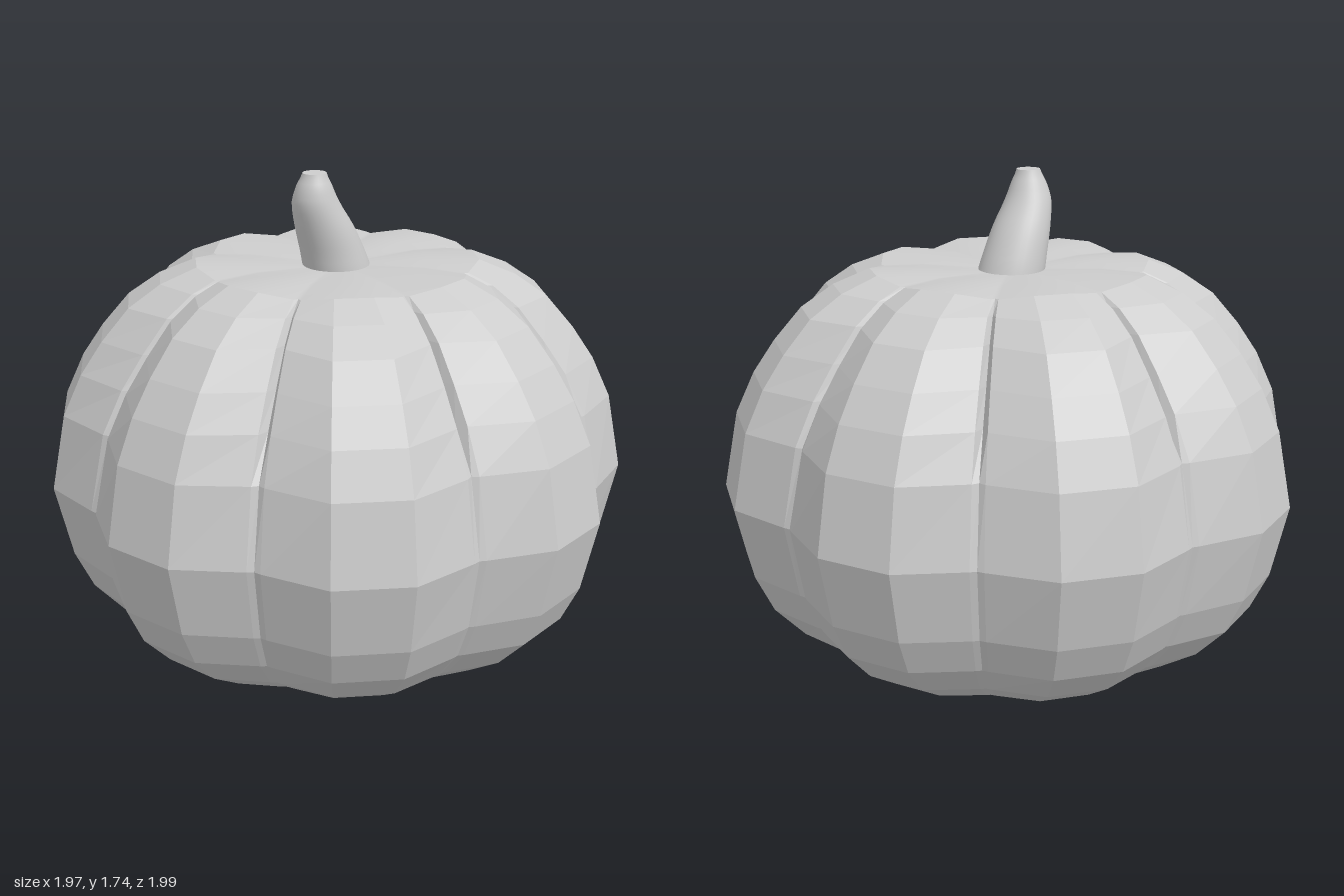
import * as THREE from 'three';

const grey = new THREE.MeshStandardMaterial({ color: 0xcccccc });
grey.name = 'plain grey';

// Skin closed rings of points, ordered from bottom to top
function loft(rings) {
  const n = rings[0].length, index = [];
  for (let j = 0; j < rings.length - 1; j++) {
    for (let i = 0; i < n; i++) {
      const a = j * n + i, b = j * n + (i + 1) % n;
      index.push(a, b, b + n, a, b + n, a + n);
    }
  }
  const g = new THREE.BufferGeometry().setFromPoints(rings.flat());
  g.setIndex(index);
  g.computeVertexNormals();
  return g;
}

function faceted(g) {
  const flat = g.toNonIndexed();
  flat.computeVertexNormals();
  return flat;
}

// One ring of eight lobes: flat crest, then a groove with a narrow slit
function lobeRing([r, y, ratio, slit = 0, drop = 0]) {
  const groove = r * ratio, lip = THREE.MathUtils.lerp(r, groove, 0.91);
  const columns = [[-7.5, r, 0], [7.5, r, 0], [21.1, lip, drop], [22.5, groove - slit, drop], [23.9, lip, drop]];
  const points = [];
  for (let k = 0; k < 8; k++) {
    for (const [degrees, radius, dy] of columns) {
      const a = THREE.MathUtils.degToRad(degrees + 45 * k);
      points.push(new THREE.Vector3(0.99 * radius * Math.sin(a), y - dy, radius * Math.cos(a)));
    }
  }
  return points;
}

export function createModel() {
  const model = new THREE.Group();
  model.name = 'pumpkin';
  const add = (name, geometry) => {
    const mesh = new THREE.Mesh(geometry, grey);
    mesh.name = name;
    model.add(mesh);
    return mesh;
  };

  // Lobed shell: radius, height, groove ratio, slit depth, groove drop
  const bottom = [0.39, 0, 0.93, 0, -0.008];
  const rim = [0.485, 1.425, 0.93, 0.01, 0.018];
  add('shell', faceted(loft([
    bottom,
    [0.645, 0.105, 0.925],
    [0.78, 0.19, 0.92],
    [0.885, 0.3, 0.915],
    [0.948, 0.43, 0.915],
    [1.005, 0.68, 0.91],
    [0.955, 0.94, 0.90, 0.005],
    [0.89, 1.08, 0.885, 0.03],
    [0.815, 1.19, 0.87, 0.035],
    [0.72, 1.3, 0.86, 0.035],
    [0.61, 1.375, 0.87, 0.03, 0.005],
    rim,
  ].map(lobeRing))));

  // Gently dished top around the stem
  add('crown', loft([
    rim,
    [0.31, 1.424, 0.98, 0, 0.008],
    [0.13, 1.41, 1],
    [0.001, 1.405, 1],
  ].map(lobeRing)));

  // Shallow hollow underneath
  add('base', loft([[0.001, 0.03, 1], [0.2, 0.025, 1], bottom].map(lobeRing)));

  // Bent, tapering stem
  const path = new THREE.CatmullRomCurve3([
    new THREE.Vector3(0, 1.395, 0),
    new THREE.Vector3(-0.018, 1.46, 0.01),
    new THREE.Vector3(-0.048, 1.55, 0.032),
    new THREE.Vector3(-0.078, 1.635, 0.057),
    new THREE.Vector3(-0.083, 1.69, 0.067),
    new THREE.Vector3(-0.082, 1.735, 0.069),
  ]);
  const radii = new THREE.SplineCurve([0.115, 0.109, 0.098, 0.079, 0.06, 0.04]
    .map((r, i) => new THREE.Vector2(i, r)));
  const rings = [];
  for (let j = 0; j <= 15; j++) {
    const c = path.getPoint(j / 15), r = radii.getPoint(j / 15).y, ring = [];
    for (let i = 0; i < 32; i++) {
      const a = i / 32 * Math.PI * 2;
      ring.push(new THREE.Vector3(c.x + r * Math.sin(a), c.y, c.z + r * Math.cos(a)));
    }
    rings.push(ring);
  }
  add('stem', loft(rings));

  // Cut end of the stem
  const tip = add('stemTip', new THREE.CircleGeometry(0.04, 32).rotateX(-Math.PI / 2));
  tip.position.set(-0.082, 1.735, 0.069);

  return model;
}
